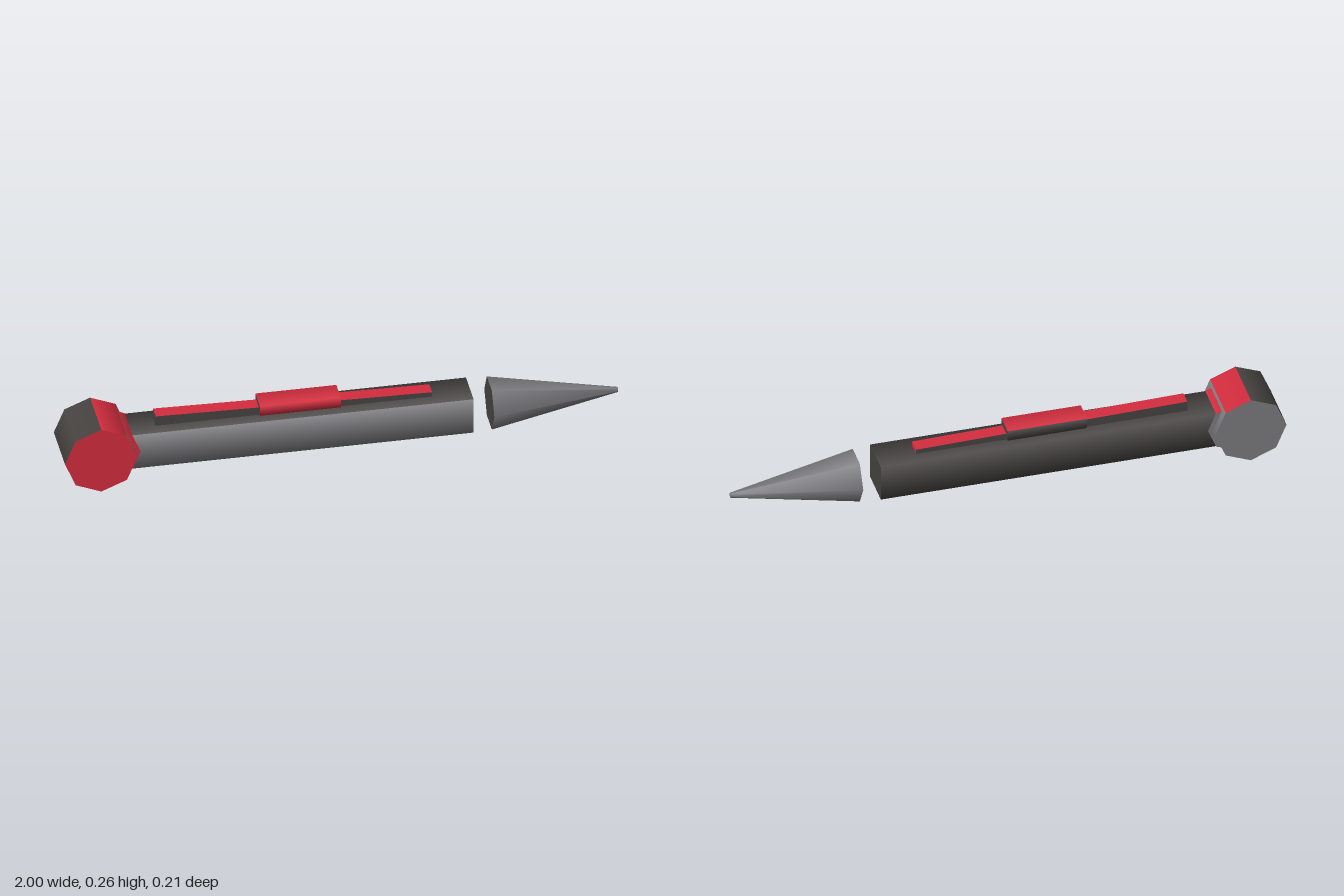
import * as THREE from 'three';

const mat = (name, color) => {
  const m = new THREE.MeshStandardMaterial({ color });
  m.name = name;
  return m;
};

// Prism with one material index per side, then the start cap (+axis) and end cap (-axis)
function prism(sides, rTop, rBottom, length, start, colours) {
  const g = new THREE.CylinderGeometry(rTop, rBottom, length, sides, 1, false, start);
  g.clearGroups();
  for (let i = 0; i < sides; i++) g.addGroup(i * 6, 6, colours[i]);
  g.addGroup(sides * 6, sides * 3, colours[sides]);
  g.addGroup(sides * 9, sides * 3, colours[sides + 1]);
  return g;
}

export function createModel() {
  const group = new THREE.Group();
  const RED = 0, LIGHT = 1, DARK = 2;
  const mats = [mat('red', 0xd42d3e), mat('light grey', 0x7c7c80), mat('dark grey', 0x474441)];
  const axisY = 0.13;

  const add = (name, geometry, x, y) => {
    const m = new THREE.Mesh(geometry, mats);
    m.name = name;
    m.position.set(x, y, 0);
    group.add(m);
    return m;
  };

  // Octagonal end drum and the smaller collar, both lying along z
  const drumColours = [DARK, DARK, LIGHT, RED, DARK, DARK, DARK, DARK, RED, LIGHT];
  const drum = (r, depth) => prism(8, r, r, depth, 0, drumColours).rotateX(Math.PI / 2);
  add('endDrum', drum(0.13, 0.21), -0.87, axisY);
  add('collar', drum(0.1, 0.146), -0.823, axisY);

  // Bars along x: sides run bottom, back, top, front
  const bar = (length, height, depth, colours) =>
    prism(4, Math.SQRT1_2, Math.SQRT1_2, length, Math.PI / 4, colours)
      .rotateZ(-Math.PI / 2)
      .scale(1, height, depth);
  add('shaft', bar(1.31, 0.14, 0.142, [DARK, DARK, DARK, LIGHT, DARK, DARK]), -0.185, axisY);
  add('gripBlock', bar(0.29, 0.04, 0.084, [DARK, DARK, RED, RED, DARK, DARK]), -0.145, 0.226);

  // Tapered rail on top of the shaft
  const rail = new THREE.BoxGeometry(0.99, 0.04, 0.052);
  [RED, DARK, RED, DARK, DARK, DARK].forEach((c, i) => { rail.groups[i].materialIndex = c; });
  const p = rail.attributes.position;
  for (let i = 0; i < p.count; i++) {
    if (p.getY(i) > 0 && p.getX(i) > 0) p.setY(i, -0.001);
  }
  rail.computeVertexNormals();
  add('topRail', rail, -0.165, 0.219);

  // Six-sided spike, set apart from the shaft
  const spike = prism(6, 0.009, 0.094, 0.46, 0, [...Array(6).fill(LIGHT), LIGHT, DARK]);
  add('spikeTip', spike.rotateZ(-Math.PI / 2), 0.77, axisY);

  return group;
}
